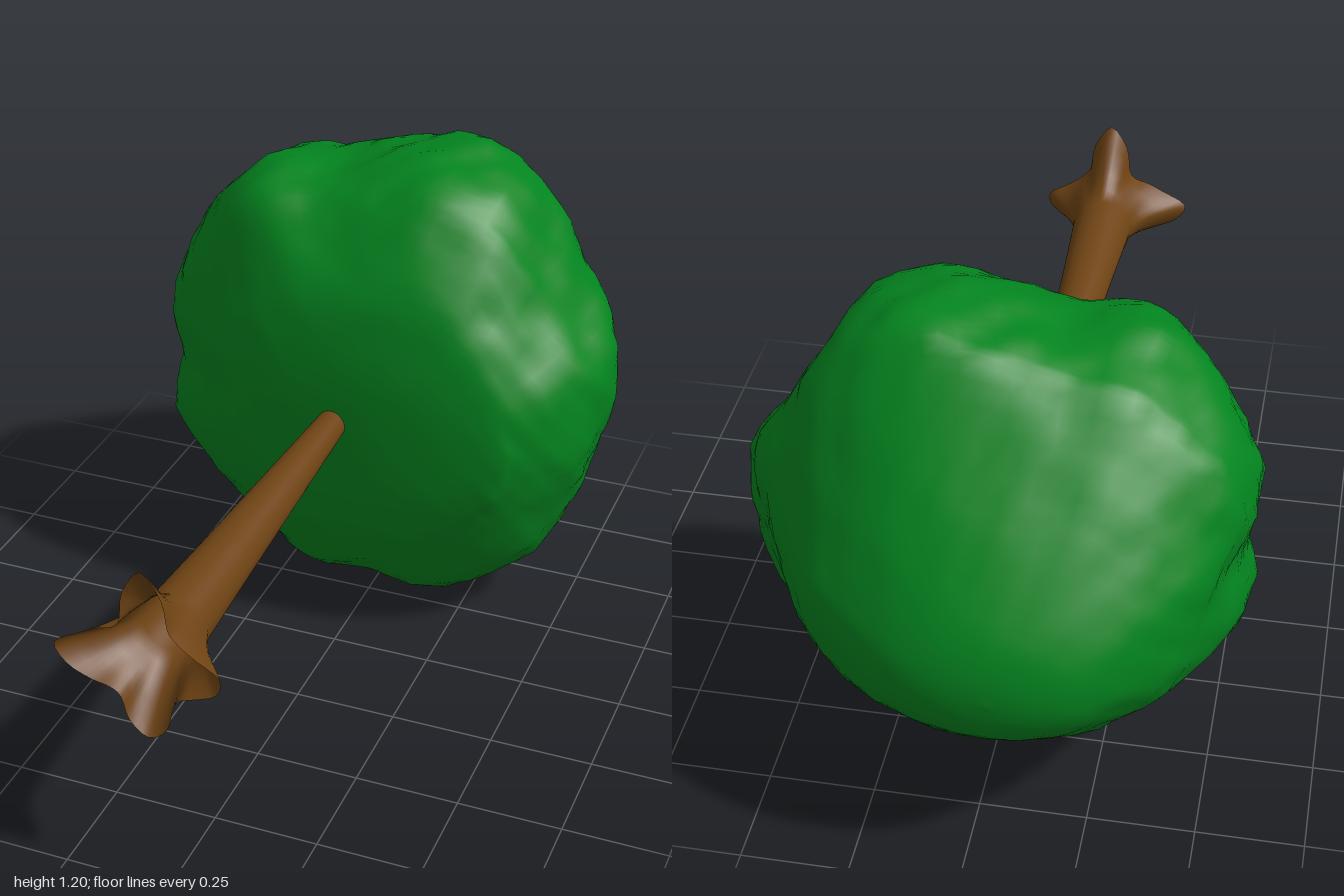
import * as THREE from 'three';

// Grid of rings running from +z to -z, each ring counter-clockwise seen from +z
function ringSurface(rings, sides, pointAt) {
  const pos = [], idx = [];
  for (let i = 0; i <= rings; i++)
    for (let j = 0; j < sides; j++) pos.push(...pointAt(i / rings, j / sides));
  for (let i = 0; i < rings; i++)
    for (let j = 0; j < sides; j++) {
      const a = i * sides + j, b = i * sides + (j + 1) % sides;
      idx.push(a, a + sides, b, b, a + sides, b + sides);
    }
  const g = new THREE.BufferGeometry();
  g.setAttribute('position', new THREE.Float32BufferAttribute(pos, 3));
  g.setIndex(idx);
  g.computeVertexNormals();
  return g;
}

// Smooth closed curve through radii given at equal angles
function polarCurve(radii) {
  return new THREE.CatmullRomCurve3(radii.map((r, i) => {
    const a = i / radii.length * Math.PI * 2;
    return new THREE.Vector3(r * Math.cos(a), r * Math.sin(a), 0);
  }), true, 'catmullrom', 0.5);
}

// Lumpy outline of the crown: radius every 15 degrees
const OUTLINE = [.58, .585, .55, .565, .62, .62, .575, .56, .635, .625, .615, .6,
  .55, .59, .58, .56, .58, .6, .57, .615, .61, .605, .575, .57];

// Crown sections: z, xMin, xMax, yMin, yMax
const SECTIONS = [
  [-.045, .1, .1, .58, .58], [-.05, 0, .25, .42, .72], [-.07, -.2, .38, .33, .84],
  [-.1, -.32, .43, .25, .95], [-.17, -.44, .5, .12, 1.06], [-.25, -.55, .55, .04, 1.15],
  [-.35, -.58, .575, .003, 1.195], [-.45, -.58, .58, .02, 1.205], [-.55, -.565, .54, .08, 1.2],
  [-.62, -.54, .49, .125, 1.16], [-.75, -.475, .41, .23, .985], [-.85, -.4, .32, .32, .86],
  [-.95, -.28, .17, .42, .72], [-.99, -.17, .05, .49, .63], [-1, -.07, -.07, .56, .56],
];

// Broad swellings (+) and hollows (-) of the crown: x, y, z, amount
const SWELLS = [[-.3, 1.08, -.55, -.08], [-.5, .85, -.18, -.06], [.36, .95, -.65, .08]];

function crownGeometry() {
  const outline = polarCurve(OUTLINE);
  const cols = [1, 2, 3, 4].map(k =>
    new THREE.SplineCurve(SECTIONS.map(s => new THREE.Vector2(s[0], s[k]))));
  return ringSurface(64, 88, (t, u) => {
    const [x0, x1, y0, y1] = cols.map(c => c.getPoint(t).y);
    const z = cols[0].getPoint(t).x, p = outline.getPoint(u);
    // the outline grows rounder towards both ends
    const a = Math.atan2(p.y, p.x), w = Math.min(1, ((y1 - y0) / 1.1) ** 2);
    const px = THREE.MathUtils.lerp(Math.cos(a), p.x / .58, w);
    const py = THREE.MathUtils.lerp(Math.sin(a), p.y / .6, w);
    const x = (x0 + x1) / 2 + (x1 - x0) / 2 * px;
    const y = (y0 + y1) / 2 + (y1 - y0) / 2 * py;
    // small leafy bumps, fading out at both ends
    const n = Math.sin(19 * x + 1) * Math.sin(18 * y + 2) * Math.sin(20 * z)
      + .7 * Math.sin(37 * x + 9 * y) * Math.sin(35 * y - 8 * z) * Math.sin(33 * z + 10 * x)
      + .4 * Math.sin(61 * y + 23 * x) * Math.sin(57 * x - 29 * z);
    let k = 1 + .015 * n * Math.min(1, 7 * t, 7 * (1 - t));
    for (const [sx, sy, sz, amount] of SWELLS)
      k += amount * Math.exp(-((x - sx) ** 2 + (y - sy) ** 2 + (z - sz) ** 2) / .03);
    return [x * k, .6 + (y - .6) * k, z];
  });
}

// Trunk rings: z, radius, root flare amount
const TRUNK = [[1, .098, 1], [.975, .094, .76], [.95, .09, .52], [.92, .085, .28],
  [.885, .081, .11], [.85, .077, 0], [.6, .065, 0], [.3, .052, 0], [-.05, .037, 0], [-.2, .033, 0]];

// Outline of the four spreading roots: radius every 15 degrees
const ROOTS = [.17, .125, .105, .1, .11, .17, .225, .17, .108, .1, .12, .15,
  .21, .19, .15, .12, .12, .165, .195, .17, .12, .11, .13, .165];

function trunkGeometry() {
  const roots = polarCurve(ROOTS);
  return ringSurface(TRUNK.length - 1, 72, (t, u) => {
    const [z, r, flare] = TRUNK[Math.round(t * (TRUNK.length - 1))];
    const p = roots.getPoint(u), reach = Math.hypot(p.x, p.y);
    const s = THREE.MathUtils.lerp(r, reach, flare) / reach;
    return [-.03 + p.x * s, .605 + p.y * s, z];
  });
}

export function createModel() {
  const group = new THREE.Group();
  const add = (name, geometry, color) => {
    const material = new THREE.MeshStandardMaterial({ color, side: THREE.DoubleSide });
    const mesh = new THREE.Mesh(geometry, material);
    mesh.name = name;
    group.add(mesh);
  };
  add('trunk', trunkGeometry(), 0x6e4314);
  add('crown', crownGeometry(), 0x03841f);
  return group;
}
